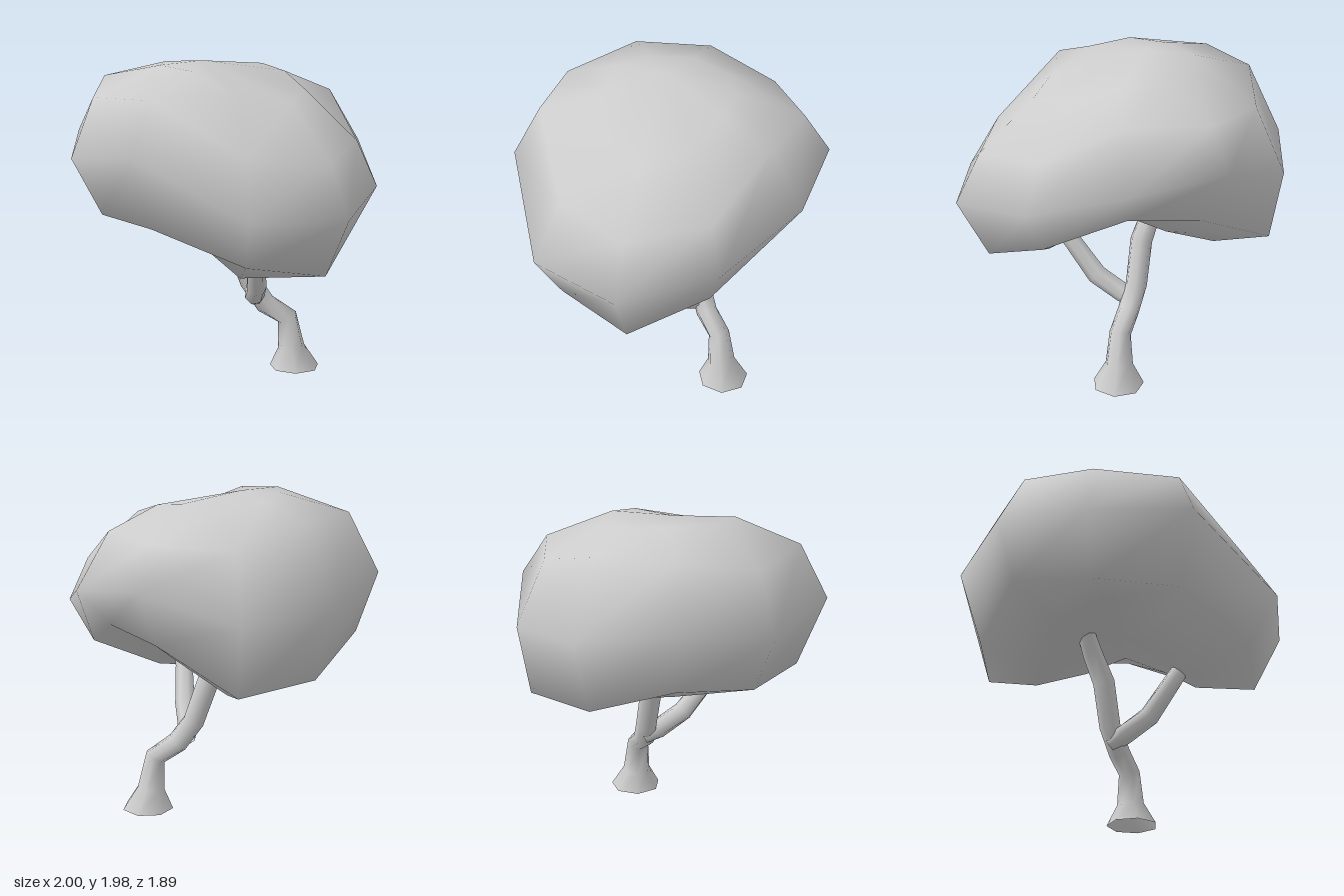
import * as THREE from 'three';
import { mergeVertices } from 'three/addons/utils/BufferGeometryUtils.js';

const V = (x, y, z) => new THREE.Vector3(x, y, z);

// Smooth skin over a stack of equally sized closed rings
function loft(rings) {
  const n = rings[0].length, index = [];
  for (let i = 0; i < rings.length - 1; i++) {
    for (let j = 0; j < n; j++) {
      const a = i * n + j, b = i * n + (j + 1) % n;
      index.push(a, b, b + n, a, b + n, a + n);
    }
  }
  let geo = new THREE.BufferGeometry().setFromPoints(rings.flat());
  geo.setIndex(index);
  geo = mergeVertices(geo, 1e-4);
  geo.computeVertexNormals();
  return geo;
}

// Tapered limb along [x, y, z, radius] stations
function limb(stations, sides = 7) {
  const pts = stations.map(s => V(s[0], s[1], s[2]));
  return loft(stations.map((s, i) => {
    const t = pts[Math.min(i + 1, pts.length - 1)].clone().sub(pts[Math.max(i - 1, 0)]).normalize();
    if (s[1] === 0) t.set(0, 1, 0);   // foot lies flat on the ground
    const a = t.clone().cross(V(0, 0, 1)).normalize();
    const b = t.clone().cross(a);
    return Array.from({ length: sides }, (_, k) => {
      const w = k / sides * Math.PI * 2;
      return pts[i].clone().addScaledVector(a, s[3] * Math.cos(w)).addScaledVector(b, s[3] * Math.sin(w));
    });
  }));
}

export function createModel() {
  const group = new THREE.Group();
  const grey = new THREE.MeshStandardMaterial({ color: 0xcccccc, side: THREE.DoubleSide });
  grey.name = 'plain grey';
  const add = (name, geo) => {
    const mesh = new THREE.Mesh(geo, grey);
    mesh.name = name;
    group.add(mesh);
  };

  // Canopy: ten ribs running from crown to underside. Each has its plan
  // direction (x, z) at the rim, then [reach, height] pairs; two lobes hang
  // down on either side of a diagonal valley
  const ribs = [
    [[-0.14, -0.95], [0.40, 1.94], [0.83, 1.77], [1, 1.53], [0.77, 1.18], [0.45, 1.00]],
    [[0.41, -0.79], [0.40, 1.91], [0.76, 1.78], [1, 1.45], [0.76, 1.22], [0.45, 1.13]],
    [[0.83, -0.34], [0.50, 1.83], [0.86, 1.53], [1, 1.26], [0.83, 1.00], [0.45, 0.98]],
    [[1.00, 0.23], [0.52, 1.78], [0.85, 1.47], [1, 1.17], [0.82, 0.81], [0.45, 0.79]],
    [[0.68, 0.73], [0.45, 1.82], [0.80, 1.52], [1, 1.19], [0.82, 0.90], [0.47, 0.75]],
    [[0.01, 0.94], [0.40, 1.95], [0.82, 1.82], [1, 1.51], [0.82, 1.08], [0.45, 0.98]],
    [[-0.60, 0.79], [0.45, 1.97], [0.86, 1.79], [1, 1.43], [0.82, 1.08], [0.45, 1.14]],
    [[-0.97, 0.34], [0.42, 1.97], [0.82, 1.87], [1, 1.52], [0.88, 1.15], [0.57, 1.00]],
    [[-1.00, -0.25], [0.45, 1.95], [0.79, 1.86], [1, 1.42], [0.86, 0.97], [0.52, 0.93]],
    [[-0.68, -0.74], [0.45, 1.92], [0.82, 1.75], [1, 1.36], [0.93, 0.94], [0.59, 0.86]],
  ];
  const pole = (x, y, z) => ribs.map(() => V(x, y, z));
  add('canopy', loft([
    pole(-0.2, 1.98, 0.05),
    ...[1, 2, 3, 4, 5].map(i => ribs.map(r => V(r[0][0] * r[i][0], r[i][1], r[0][1] * r[i][0]))),
    pole(-0.05, 1.13, -0.02),
  ]));

  // Trunk, open at its flared foot, bending into the long branch
  add('trunk', limb([
    [0.23, 0, -0.36, 0.16], [0.215, 0.13, -0.345, 0.087], [0.195, 0.33, -0.325, 0.068],
    [0.085, 0.42, -0.24, 0.068], [0, 0.56, -0.19, 0.068], [-0.07, 0.82, -0.13, 0.07],
    [-0.16, 0.98, -0.1, 0.064], [-0.25, 1.12, -0.03, 0.055], [-0.27, 1.2, 0.04, 0.045],
  ]));

  // Side branch reaching into the front lobe
  add('sideBranch', limb([
    [0.02, 0.45, -0.22, 0.045], [0.07, 0.5, -0.14, 0.064], [0.18, 0.595, -0.01, 0.064],
    [0.28, 0.8, 0.13, 0.056], [0.34, 0.92, 0.19, 0.05],
  ]));
  return group;
}
